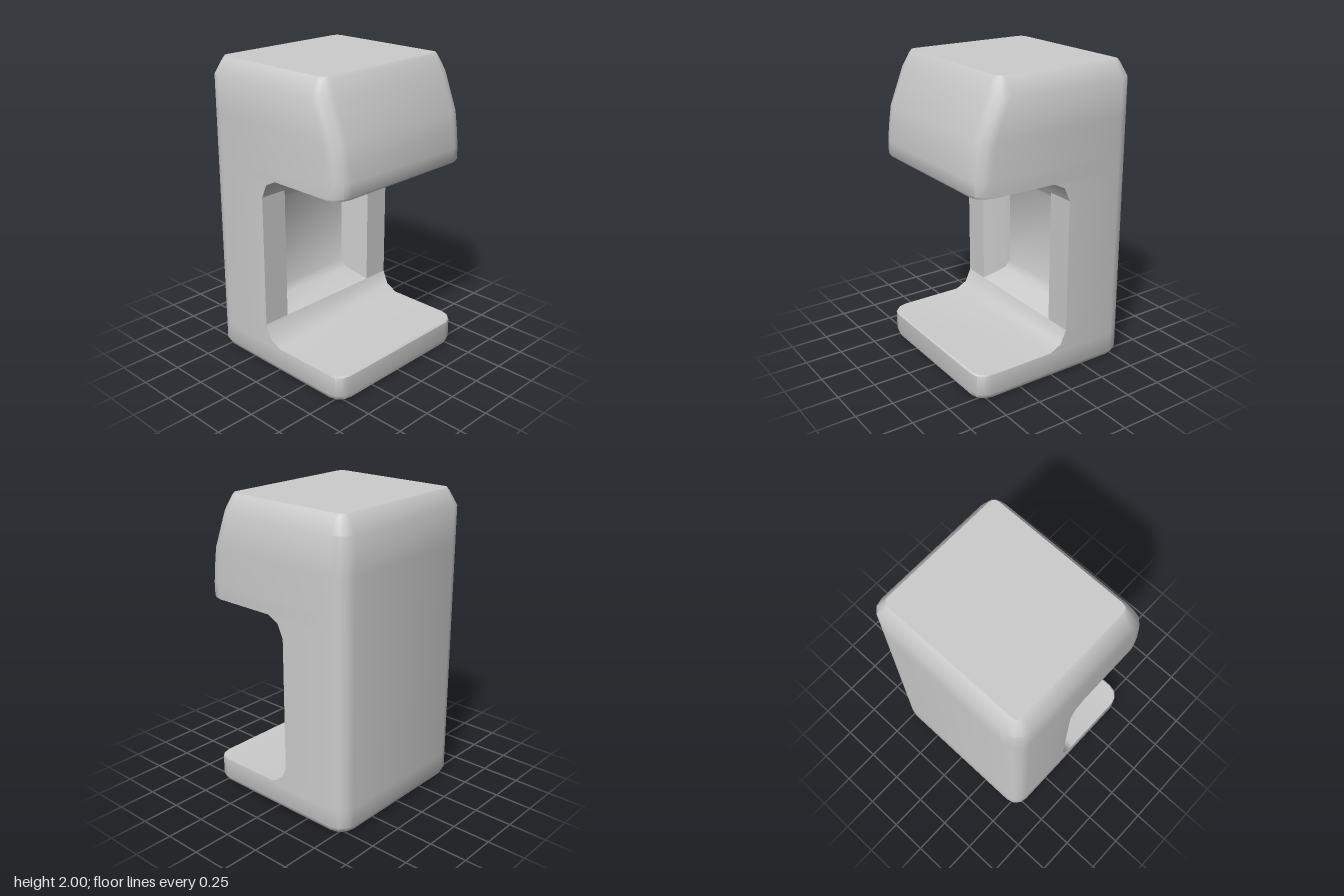
import * as THREE from 'three';
import { toCreasedNormals } from 'three/addons/utils/BufferGeometryUtils.js';

const STEPS = 3; // segments per rounded corner

// Horizontal rounded rectangle, counter-clockwise from above; starts at the front on +x
function ring({ y, half = 0.57, back = -0.57, front, rf = 0, rb = 0.1 }) {
  const points = [];
  const corners = [[1, front, rf, 1], [1, back, rb, -1], [-1, back, rb, -1], [-1, front, rf, 1]];
  corners.forEach(([sx, z, r, sz], quarter) => {
    for (let i = 0; i <= STEPS; i++) {
      const a = (quarter + i / STEPS) * Math.PI / 2;
      points.push(new THREE.Vector3(
        sx * (half - r) + r * Math.sin(a), y, z - sz * r + r * Math.cos(a)));
    }
  });
  return points;
}

// Upright rectangle, counter-clockwise from the front
function frame(half, y0, y1, z) {
  return [[-half, y0], [half, y0], [half, y1], [-half, y1]]
    .map(([x, y]) => new THREE.Vector3(x, y, z));
}

// Skin between successive rings, with optional end caps
function loft(rings, { startCap = false, endCap = false, skip = () => false }) {
  const pos = [];
  const tri = (a, b, c) => {
    const area = b.clone().sub(a).cross(c.clone().sub(a)).length();
    if (area > 1e-7) for (const p of [a, b, c]) pos.push(p.x, p.y, p.z);
  };
  const n = rings[0].length;
  for (let i = 0; i < rings.length - 1; i++) {
    for (let j = 0; j < n; j++) {
      if (skip(i, j)) continue;
      const k = (j + 1) % n;
      const [lo, hi] = [rings[i], rings[i + 1]];
      tri(lo[j], lo[k], hi[k]);
      tri(lo[j], hi[k], hi[j]);
    }
  }
  const first = rings[0], last = rings[rings.length - 1];
  for (let j = 1; j < n - 1; j++) {
    if (startCap) tri(first[0], first[j + 1], first[j]);
    if (endCap) tri(last[0], last[j], last[j + 1]);
  }
  const geometry = new THREE.BufferGeometry();
  geometry.setAttribute('position', new THREE.Float32BufferAttribute(pos, 3));
  return toCreasedNormals(geometry, 0.7);
}

export function createModel() {
  const group = new THREE.Group();
  const material = new THREE.MeshStandardMaterial({ color: 0xcccccc });
  const add = (name, geometry) => {
    const mesh = new THREE.Mesh(geometry, material);
    mesh.name = name;
    group.add(mesh);
  };

  const sections = [
    // base plate
    { y: 0, half: 0.53, back: -0.53, front: 0.545, rf: 0.08, rb: 0.08 },
    { y: 0.012, half: 0.555, back: -0.555, front: 0.562, rf: 0.095 },
    { y: 0.045, front: 0.57, rf: 0.1 },
    { y: 0.17, front: 0.57, rf: 0.1 },
    { y: 0.18, front: 0.56, rf: 0.1 },
    // shelf, lower fillet, column, upper fillet
    { y: 0.18, front: 0.03 },
    { y: 0.22, front: -0.05 },
    { y: 0.31, front: -0.09 },
    { y: 1.19, front: -0.09 },
    { y: 1.28, front: -0.05 },
    { y: 1.32, front: 0.03 },
    // overhanging head
    { y: 1.32, front: 0.56, rf: 0.1 },
    { y: 1.335, front: 0.57, rf: 0.1 },
    { y: 1.42, front: 0.57, rf: 0.1 },
    { y: 1.53, front: 0.558, rf: 0.1 },
    { y: 1.65, front: 0.54, rf: 0.1 },
    { y: 1.89, front: 0.445, rf: 0.1 },
    { y: 1.98, half: 0.522, back: -0.522, front: 0.402, rf: 0.06, rb: 0.06 },
    { y: 2, half: 0.505, back: -0.505, front: 0.385, rf: 0.04, rb: 0.04 },
  ];

  // The front of the column is left open for the recess
  const column = sections.findIndex((s) => s.y === 0.31);
  const frontSide = 4 * (STEPS + 1) - 1;
  add('body', loft(sections.map(ring), {
    startCap: true, endCap: true,
    skip: (i, j) => i === column && j === frontSide,
  }));

  // Column front with its sunken, bevelled panel
  add('recessedPanel', loft([
    frame(0.57, 0.31, 1.19, -0.09),
    frame(0.385, 0.31, 1.19, -0.09),
    frame(0.312, 0.385, 1.125, -0.225),
    frame(0.3, 0.44, 1.06, -0.26),
  ], { endCap: true }));

  return group;
}
